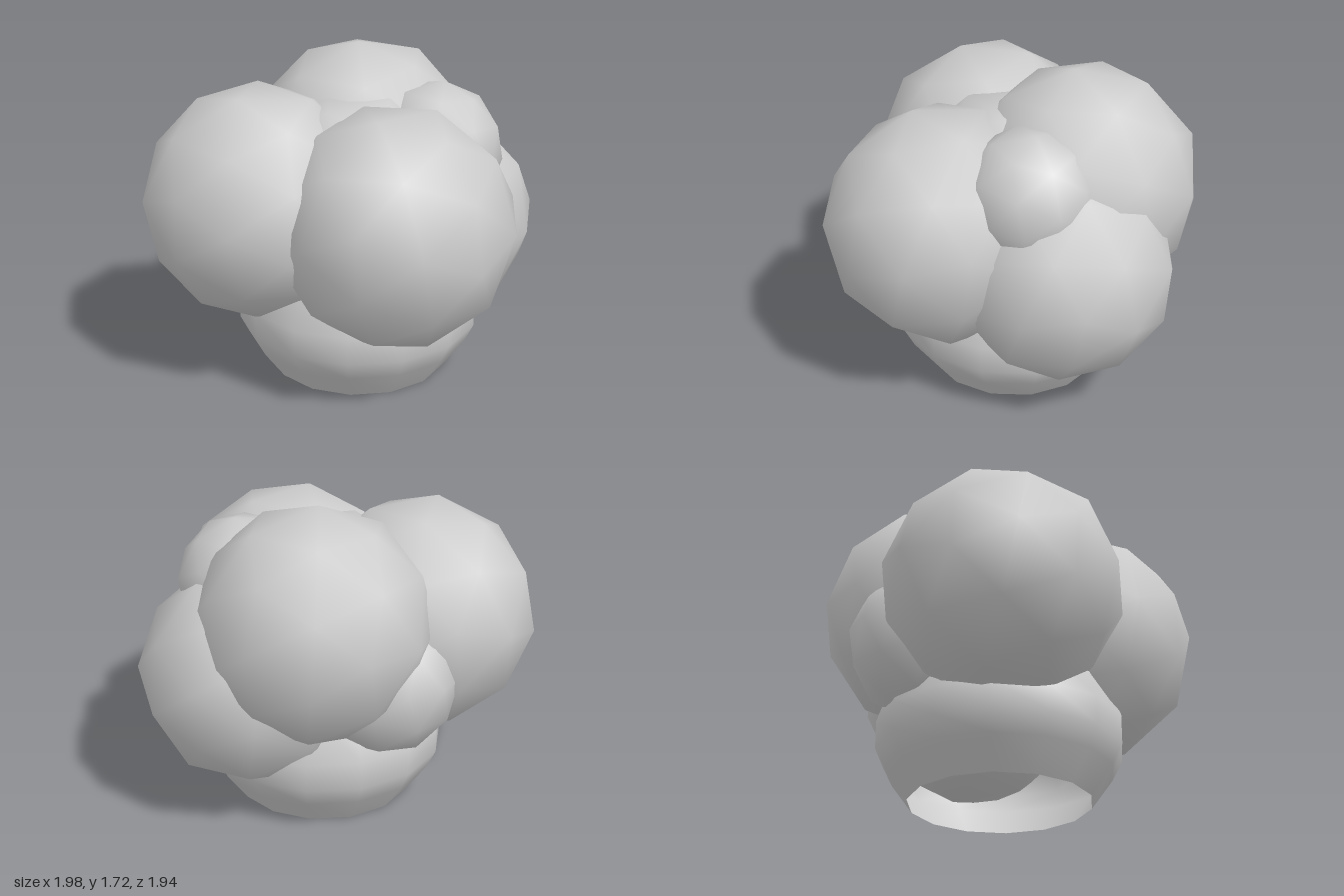
import * as THREE from 'three';

const material = new THREE.MeshStandardMaterial({ color: 0xcccccc, side: THREE.DoubleSide });

// A smooth-shaded, coarse ball; up and side give the directions of two of its corners.
function clump(name, radius, position, up, side) {
  const y = new THREE.Vector3(...up).normalize();
  const z = new THREE.Vector3(...side).cross(y).normalize();
  const x = new THREE.Vector3().crossVectors(y, z);
  const mesh = new THREE.Mesh(new THREE.IcosahedronGeometry(radius, 1), material);
  mesh.name = name;
  mesh.quaternion.setFromRotationMatrix(new THREE.Matrix4().makeBasis(x, y, z));
  mesh.position.set(...position);
  return mesh;
}

export function createModel() {
  const group = new THREE.Group();
  group.name = 'bush';

  // Large leaf clumps
  group.add(
    clump('frontRightClump', 0.63, [-0.37, 0.975, 0.37], [0, 0.59, 0.17], [0.62, -0.03, 0.12]),
    clump('frontLeftClump', 0.64, [0.37, 0.93, 0.23], [0, 0.6, 0.17], [0.63, -0.12, -0.18]),
    clump('backTopClump', 0.63, [-0.14, 1.09, -0.32], [0, 0.62, 0.05], [0.6, -0.05, -0.02]),
    clump('backLeftClump', 0.6, [0.21, 0.76, -0.39], [0.03, 0.59, 0.11], [0.59, -0.03, -0.07]),
  );

  // Small clumps between them, and the core that fills the hollows
  group.add(
    clump('smallTopClump', 0.37, [0.33, 1.2, -0.26], [0.03, 0.37, -0.05], [0.36, -0.05, 0.05]),
    clump('smallRightClump', 0.4, [-0.44, 0.78, -0.12], [0.05, 0.4, 0.05], [0.4, -0.05, 0.05]),
    clump('core', 0.6, [0, 0.95, 0.04], [0, 0.53, 0.24], [1, 0, 0]),
  );

  // Rounded base, open underneath
  const profile = [[0.485, 0], [0.6, 0.16], [0.655, 0.27], [0.655, 0.42], [0.56, 0.7], [0.3, 0.92], [0, 1]];
  const base = new THREE.Mesh(
    new THREE.LatheGeometry(profile.map(([r, y]) => new THREE.Vector2(r, y)), 14),
    material,
  );
  base.name = 'base';
  base.position.x = 0.015;
  group.add(base);

  return group;
}
